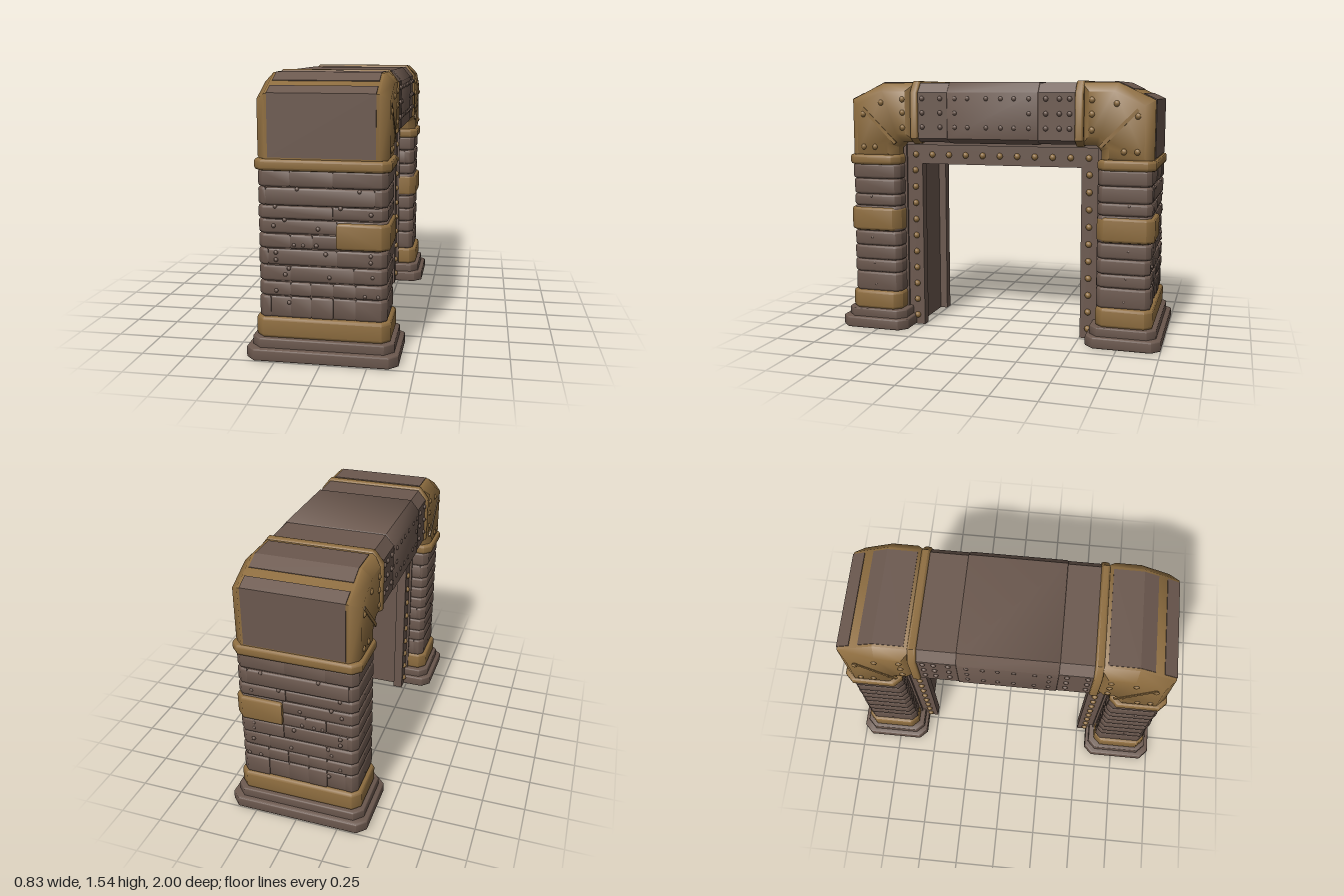
import * as THREE from 'three';
import { mergeGeometries, toCreasedNormals } from 'three/addons/utils/BufferGeometryUtils.js';

const brown = new THREE.MeshStandardMaterial({ color: 0x6b584e });
brown.name = 'dark bronze stone';
const gold = new THREE.MeshStandardMaterial({ color: 0x8f6e40 });
gold.name = 'aged brass';

// Bevelled extrusion of a polygon, centred on its length; the bevel stays inside the outline
function prism(points, length, bevel = 0, segments = 2) {
  const shape = new THREE.Shape(points.map(p => new THREE.Vector2(p[0], p[1])));
  const geo = new THREE.ExtrudeGeometry(shape, {
    depth: length - 2 * bevel, bevelEnabled: bevel > 0, bevelThickness: bevel,
    bevelSize: bevel, bevelOffset: -bevel, bevelSegments: segments,
  });
  geo.translate(0, 0, bevel - length / 2);
  return bevel > 0 ? toCreasedNormals(geo, 0.85) : geo;
}

// Polygon given as (z, y), extruded across x
const across = (points, width, bevel, segments) => prism(points, width, bevel, segments).rotateY(-Math.PI / 2);

// Flat slab with corners cut by cl (at x0) and cr (at x1)
function slab(x0, x1, z0, z1, y0, y1, cl, cr, bevel) {
  const pts = [[x0 + cl, -z0], [x1 - cr, -z0]];
  if (cr) pts.push([x1, -z0 - cr], [x1, -z1 + cr]);
  pts.push([x1 - cr, -z1], [x0 + cl, -z1]);
  if (cl) pts.push([x0, -z1 + cl], [x0, -z0 - cl]);
  return prism(pts, y1 - y0, bevel).rotateX(-Math.PI / 2).translate(0, (y0 + y1) / 2, 0);
}

function add(parent, name, geo, mat) {
  const mesh = new THREE.Mesh(geo, mat);
  mesh.name = name;
  parent.add(mesh);
  return mesh;
}

function rivets(parent, name, spots, r, mat) {
  add(parent, name, mergeGeometries(spots.map(p => new THREE.SphereGeometry(r, 8, 6).translate(...p))), mat);
}

const bothSides = (spots, x) => spots.flatMap(([z, y]) => [[x, y, z], [-x, y, z]]);

// Beam cross-section, grown outwards by g
const beamProfile = g => [
  [-0.3, 1.17 - g], [0.3, 1.17 - g], [0.345 + g, 1.197], [0.345 + g, 1.47],
  [0.295 + g / 2, 1.53 + g], [-0.295 - g / 2, 1.53 + g], [-0.345 - g, 1.47], [-0.345 - g, 1.197],
];

// One pillar with its corner cap, facing +z; s is the side that carries the middle band
function makePillar(s) {
  const g = new THREE.Group();
  add(g, 'baseStep', slab(-0.415, 0.415, 0.56, 1, 0, 0.068, 0.05, 0.05, 0.01), brown);
  add(g, 'upperBaseStep', slab(-0.387, 0.387, 0.58, 0.97, 0.06, 0.12, 0.05, 0.05, 0.008), brown);
  add(g, 'lowerBand', slab(-0.367, 0.367, 0.612, 0.947, 0.115, 0.232, 0.045, 0.045, 0.018), gold);
  add(g, 'pillarCore', slab(-0.335, 0.335, 0.625, 0.92, 0.2, 1.06, 0.035, 0.035, 0), brown);

  // Courses of rounded bricks
  const levels = [0.228, 0.35, 0.43, 0.52, 0.612, 0.692, 0.772, 0.845, 0.942, 1.035];
  const joints = [
    [-0.28, -0.17, -0.06, 0.06, 0.18], [-0.17, -0.06, 0.06, 0.18], [-0.17, 0.17], [-0.29, 0.08],
    [-0.17, -0.05], [0.08], [0.06], [-0.3, 0.28], [-0.17, 0.06],
  ];
  const bricks = [];
  joints.forEach((cuts, i) => {
    const xs = [-0.347, ...cuts.map(c => c * s).sort((a, b) => a - b), 0.347];
    for (let k = 0; k < xs.length - 1; k++) {
      const front = 0.932 - 0.003 * ((i + 2 * k) % 3);
      const cl = k === 0 ? 0.03 : 0, cr = k === xs.length - 2 ? 0.03 : 0;
      bricks.push(slab(xs[k], xs[k + 1], 0.615, front, levels[i], levels[i + 1], cl, cr, 0.014));
    }
  });
  add(g, 'bricks', mergeGeometries(bricks), brown);

  const studs = [
    [-0.13, 0.935], [0.2, 0.93], [-0.25, 0.84], [0.1, 0.84], [0.26, 0.81], [-0.2, 0.77], [-0.26, 0.735],
    [-0.02, 0.725], [-0.15, 0.635], [-0.1, 0.635], [-0.03, 0.635], [-0.25, 0.59], [-0.25, 0.55], [0.02, 0.59],
    [0.26, 0.59], [0.26, 0.555], [-0.18, 0.505], [-0.2, 0.47], [0.04, 0.465], [0.27, 0.475], [-0.25, 0.38],
    [-0.18, 0.315], [0.23, 0.37], [0.3, 0.37],
  ];
  rivets(g, 'brickStuds', studs.map(([x, y]) => [x * s, y, 0.926]), 0.012, brown);
  rivets(g, 'sideStuds', bothSides([[0.8, 0.83], [0.8, 0.57], [0.79, 0.41], [0.78, 0.27]], 0.34), 0.01, brown);

  // Brass band round one side only
  const [bx0, bx1] = s > 0 ? [0.08, 0.362] : [-0.362, -0.08];
  add(g, 'middleBand', slab(bx0, bx1, 0.612, 0.947, 0.618, 0.762, s > 0 ? 0 : 0.045, s > 0 ? 0.045 : 0, 0.016), gold);

  // Corner cap with chamfered side edges
  const cap = [
    [0.932, 1.05], [0.932, 1.43], [0.72, 1.53], [0.51, 1.53],
    [0.51, 1.17], [0.6, 1.17], [0.63, 1.14], [0.63, 1.05],
  ];
  add(g, 'cornerCap', across(cap, 0.704, 0.052, 1), gold);
  add(g, 'capLip', slab(-0.366, 0.366, 0.612, 0.947, 1.03, 1.092, 0.045, 0.045, 0.016), gold);
  add(g, 'capRing', prism(beamProfile(0.01), 0.05, 0.012).translate(0, 0, 0.506), gold);
  const frontPlate = [[0.93, 1.1], [0.936, 1.1], [0.936, 1.434], [0.862, 1.469], [0.86, 1.46], [0.93, 1.426]];
  add(g, 'capFrontPanel', across(frontPlate, 0.57), brown);
  const topPlate = [[0.805, 1.485], [0.808, 1.493], [0.722, 1.534], [0.55, 1.534], [0.55, 1.527], [0.72, 1.527]];
  add(g, 'capTopPanel', across(topPlate, 0.57), brown);
  for (const x of [-0.35, 0.35]) {
    const rib = add(g, 'capDiagonalRib', new THREE.BoxGeometry(0.012, 0.02, 0.3), gold);
    rib.position.set(x, 1.27, 0.735);
    rib.rotation.x = -Math.PI / 4;
  }
  const capSpots = [[0.58, 1.43], [0.58, 1.35], [0.58, 1.26], [0.72, 1.41], [0.84, 1.34], [0.84, 1.14], [0.765, 1.14]];
  rivets(g, 'capRivets', bothSides(capSpots, 0.344), 0.02, gold);
  return g;
}

// Doorway outline as (z, y): outer half-width, top, inner half-width, inner top
const doorway = (o, t, i, it) => [
  [o, 0], [o, t - 0.04], [o - 0.04, t], [-o + 0.04, t], [-o, t - 0.04], [-o, 0],
  [-i, 0], [-i, it], [i, it], [i, 0],
];

export function createModel() {
  const model = new THREE.Group();
  model.name = 'archway';

  const front = makePillar(1);
  front.name = 'frontPillar';
  const back = makePillar(-1);
  back.name = 'backPillar';
  back.rotation.y = Math.PI;
  model.add(front, back);

  // Beam with a slightly raised middle plate
  const beam = new THREE.Group();
  beam.name = 'beam';
  model.add(beam);
  add(beam, 'beamBody', prism(beamProfile(-0.003), 1.04), brown);
  add(beam, 'beamMiddlePlate', prism(beamProfile(0.002), 0.56, 0.004, 1).translate(0, 0, 0.015), brown);
  const beamSpots = [];
  const zs = [0.455, 0.34, 0.245, 0.165, 0.05, -0.04, -0.12, -0.21, -0.31, -0.39, -0.45];
  for (const y of [1.265, 1.35, 1.435]) {
    for (const z of zs) if (y !== 1.35 || Math.abs(z - 0.02) > 0.2) beamSpots.push([z, y]);
  }
  rivets(beam, 'beamRivets', bothSides(beamSpots, 0.34), 0.016, brown);

  // Door frame: two raised rims with a recessed lining between them
  const frame = new THREE.Group();
  frame.name = 'doorFrame';
  model.add(frame);
  add(frame, 'frameLining', across(doorway(0.63, 1.18, 0.55, 1.085), 0.4), brown);
  for (const x of [-1, 1]) {
    add(frame, 'frameRim', across(doorway(0.62, 1.172, 0.503, 1.033), 0.06).translate(x * 0.2, 0, 0), brown);
    add(frame, 'frameOuterLip', across(doorway(0.622, 1.174, 0.602, 1.15), 0.02).translate(x * 0.235, 0, 0), brown);
  }
  const frameSpots = [];
  for (let i = 0; i < 10; i++) for (const z of [-0.55, 0.55]) frameSpots.push([z, 0.06 + i * 0.1035]);
  for (let i = -5; i <= 5; i++) frameSpots.push([i * 0.109, 1.09]);
  rivets(frame, 'frameRivets', bothSides(frameSpots, 0.229), 0.02, gold);

  return model;
}
